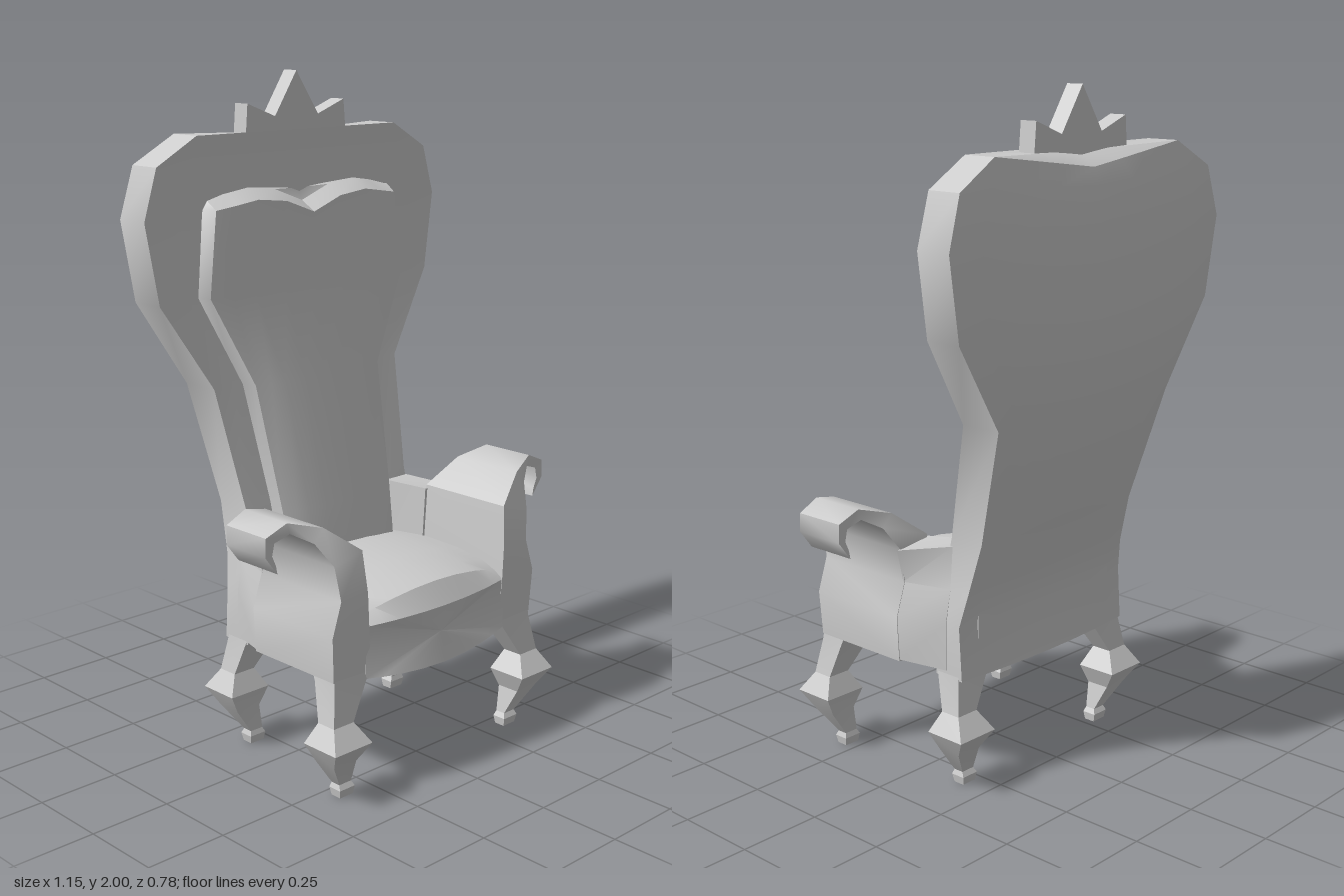
import * as THREE from 'three';
import { toCreasedNormals } from 'three/addons/utils/BufferGeometryUtils.js';

const material = new THREE.MeshStandardMaterial({ color: 0xcccccc });
const columns = [-1, -0.8, -0.6, -0.3, 0, 0.3, 0.6, 0.8, 1];

// Closed skin through equal-length rings of [x, y, z], capped and turned outwards
function loft(rings, crease = 0.5) {
  const tris = [];
  const n = rings[0].length;
  for (let r = 0; r < rings.length - 1; r++) {
    for (let i = 0; i < n; i++) {
      const j = (i + 1) % n;
      const [a, b, c, d] = [rings[r][i], rings[r][j], rings[r + 1][j], rings[r + 1][i]];
      tris.push([a, b, c], [a, c, d]);
    }
  }
  const cap = (ring, flip) => {
    const mid = [0, 1, 2].map((k) => ring.reduce((s, p) => s + p[k], 0) / n);
    ring.forEach((p, i) => {
      const q = ring[(i + 1) % n];
      tris.push(flip ? [mid, q, p] : [mid, p, q]);
    });
  };
  cap(rings[0], true);
  cap(rings[rings.length - 1], false);
  let volume = 0;
  for (const [a, b, c] of tris) {
    volume += new THREE.Vector3(...a).dot(new THREE.Vector3(...b).cross(new THREE.Vector3(...c)));
  }
  if (volume < 0) tris.forEach((t) => t.reverse());
  const geometry = new THREE.BufferGeometry();
  geometry.setAttribute('position', new THREE.Float32BufferAttribute(tris.flat(2), 3));
  return toCreasedNormals(geometry, crease);
}

// Ring made of a front (or top) line and a returning back (or bottom) line
const band = (first, second) => [...columns.map(first), ...[...columns].reverse().map(second)];

export function createModel() {
  const chair = new THREE.Group();
  chair.name = 'throneChair';
  const add = (name, geometry) => {
    const mesh = new THREE.Mesh(geometry, material);
    mesh.name = name;
    chair.add(mesh);
  };

  // Back frame: y, half width, front z, back z at the edge, back z at the centre, centre drop
  const frame = [
    [0.34, 0.36, -0.1, -0.2, -0.22, 0],
    [0.5, 0.36, -0.1, -0.19, -0.205, 0],
    [0.6, 0.342, -0.11, -0.21, -0.22, 0],
    [0.75, 0.33, -0.135, -0.25, -0.265, 0],
    [1.1, 0.37, -0.22, -0.35, -0.37, 0],
    [1.36, 0.535, -0.25, -0.365, -0.393, 0],
    [1.6, 0.575, -0.257, -0.37, -0.393, 0],
    [1.75, 0.53, -0.255, -0.365, -0.38, 0.02],
    [1.83, 0.39, -0.25, -0.355, -0.365, 0.05],
  ];
  add('backFrame', loft(frame.map(([y, w, zf, ze, zc, drop]) => band(
    (t) => [t * w, y, zf],
    (t) => [t * w, y - drop * (1 - Math.abs(t)), zc + (ze - zc) * t * t],
  ))));

  // Back cushion: y, half width, front z, back z; its top edge has two humps
  const pad = [
    [0.5, 0.235, -0.04, -0.14],
    [0.72, 0.24, -0.07, -0.16],
    [1.1, 0.268, -0.153, -0.24],
    [1.37, 0.403, -0.187, -0.27],
    [1.62, 0.374, -0.19, -0.27],
    [1.65, 0.37, -0.245, -0.27],
  ];
  add('backCushion', loft(pad.map(([y, w, zf, zb], i) => {
    const hump = (t) => {
      const a = Math.abs(t);
      const rise = a < 0.45 ? -0.03 + a / 0.45 * 0.06 : 0.03 * (1 - (a - 0.45) / 0.55);
      return i < 4 ? y : y + rise;
    };
    return band(
      (t) => [t * (w - 0.018), hump(t), zf - 0.022 * t ** 4],
      (t) => [t * w, hump(t), zb],
    );
  }), 0.6));

  // Seat with domed top and bowed front: z, top y, dome height, bow, bottom y
  const seat = [
    [-0.2, 0.55, 0.03, 0, 0.335],
    [0, 0.56, 0.035, 0, 0.33],
    [0.15, 0.555, 0.035, 0, 0.328],
    [0.26, 0.54, 0.04, 0.01, 0.328],
    [0.325, 0.52, 0.045, 0.025, 0.327],
    [0.365, 0.5, 0, 0.033, 0.325],
  ];
  add('seat', loft(seat.map(([z, y, dome, bow, bottom]) => band(
    (t) => [t * 0.29, y + dome * (1 - t * t), z - bow * t * t],
    (t) => [t * 0.29, bottom + 0.02 * t * t, z - bow * t * t],
  ))));

  // Scrolled arm: outer x, y, inner x, y, front z, back z
  const arm = [
    [0.412, 0.365, 0.27, 0.35, 0.33, 0],
    [0.42, 0.5, 0.28, 0.5, 0.335, 0],
    [0.387, 0.6, 0.285, 0.6, 0.335, 0],
    [0.4, 0.7, 0.295, 0.725, 0.322, 0],
    [0.435, 0.765, 0.4, 0.803, 0.28, 0.035],
    [0.49, 0.797, 0.5, 0.83, 0.242, 0.066],
    [0.54, 0.78, 0.57, 0.8, 0.235, 0.07],
    [0.548, 0.745, 0.572, 0.745, 0.235, 0.07],
    [0.535, 0.715, 0.53, 0.69, 0.235, 0.07],
  ];
  // Rear arm link, z of each section followed by its outline in x and y
  const link = [
    [0.005, [[0.412, 0.37], [0.42, 0.5], [0.387, 0.6], [0.41, 0.7], [0.285, 0.715], [0.26, 0.35]]],
    [-0.14, [[0.362, 0.36], [0.362, 0.5], [0.342, 0.6], [0.332, 0.725], [0.24, 0.725], [0.22, 0.35]]],
  ];
  // Leg: y, inner x, outer x, back z, front z
  const leg = [
    [0.42, 0.27, 0.405, 0.22, 0.325],
    [0.35, 0.285, 0.41, 0.25, 0.332],
    [0.24, 0.355, 0.43, 0.285, 0.35],
    [0.18, 0.32, 0.462, 0.26, 0.39],
    [0.12, 0.345, 0.43, 0.275, 0.35],
    [0.04, 0.33, 0.375, 0.28, 0.312],
    [0.025, 0.322, 0.38, 0.275, 0.32],
    [0, 0.325, 0.375, 0.28, 0.315],
  ];
  for (const [side, s] of [['left', 1], ['right', -1]]) {
    add(side + 'Arm', loft(arm.map(([xo, yo, xi, yi, zf, zb]) => [
      [s * xo, yo, zf], [s * xi, yi, zf], [s * xi, yi, zb], [s * xo, yo, zb],
    ]), 0.75));
    add(side + 'ArmLink', loft(link.map(([z, outline]) => outline.map(([x, y]) => [s * x, y, z]))));
    for (const front of [true, false]) {
      const place = (x, y, z) => [s * (front ? x : x - 0.05), y, front ? z : 0.145 - z];
      add(side + (front ? 'Front' : 'Back') + 'Leg', loft(leg.map(([y, xi, xo, zb, zf]) => [
        place(xi, y, zb), place(xo, y, zb), place(xo, y, zf), place(xi, y, zf),
      ]), 0.2));
    }
  }

  // Pointed crest on top of the back
  const crest = new THREE.Shape([
    [-0.2, 1.79], [0.2, 1.79], [0.19, 1.91], [0.085, 1.87],
    [0, 2], [-0.085, 1.87], [-0.19, 1.91],
  ].map(([x, y]) => new THREE.Vector2(x, y)));
  const crestGeometry = new THREE.ExtrudeGeometry(crest, { depth: 0.055, bevelEnabled: false });
  crestGeometry.translate(0, 0, -0.32);
  add('crest', crestGeometry);

  return chair;
}
